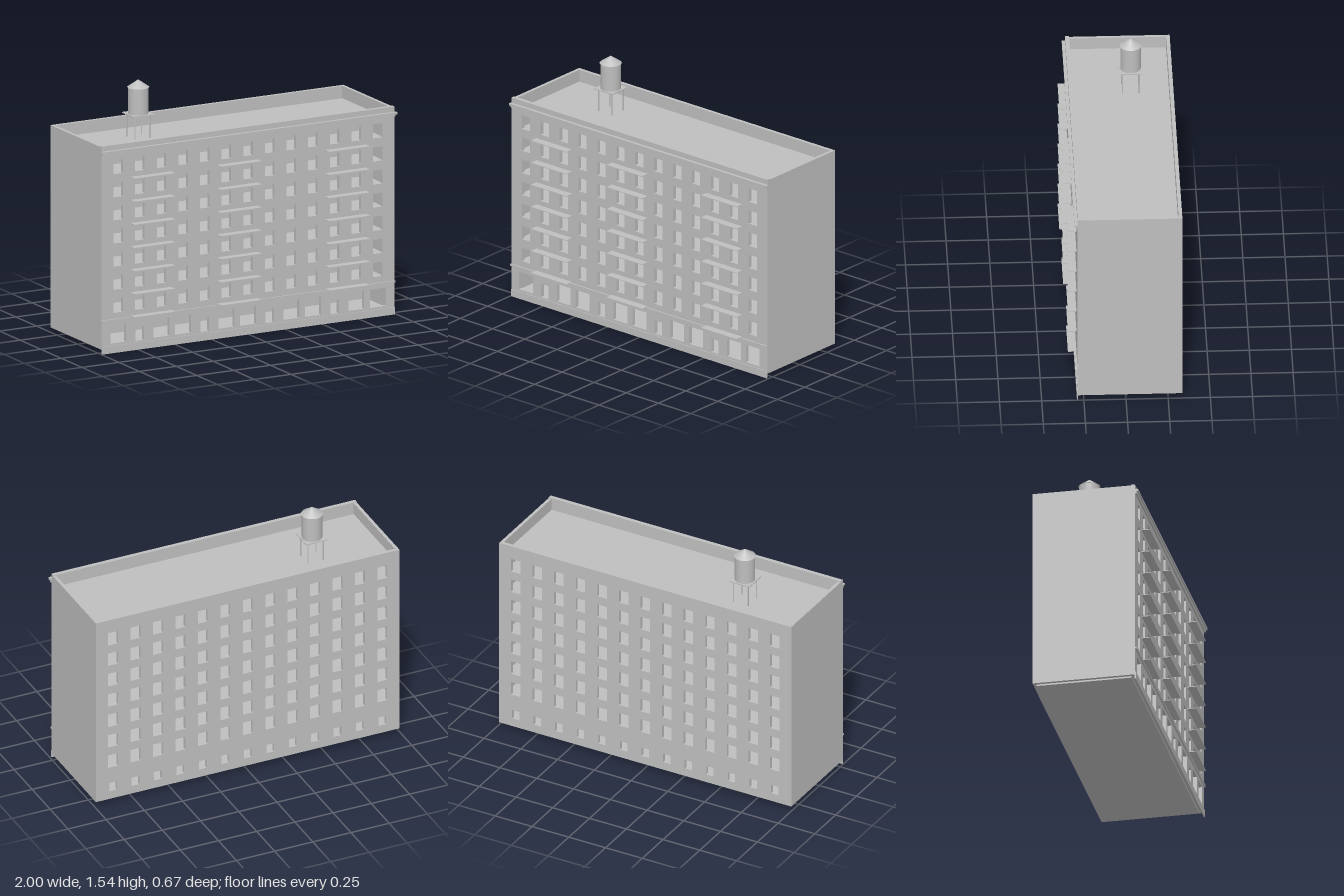
import * as THREE from 'three';

const stone = new THREE.MeshStandardMaterial({ color: 0xbebebe });
stone.name = 'grey stone';

const LEFT = -0.997, RIGHT = 0.99, MID = (LEFT + RIGHT) / 2;
const FRONT = 0.286, BACK = -0.335;
const COLUMNS = 13, PITCH = 0.1468;
const FLOOR_STEP = 0.1413, TOP_FLOOR = 1.06, STOREYS = 7;

export function createModel() {
  const model = new THREE.Group();

  function add(name, geometry, x = 0, y = 0, z = 0) {
    const mesh = new THREE.Mesh(geometry, stone);
    mesh.name = name;
    mesh.position.set(x, y, z);
    model.add(mesh);
    return mesh;
  }

  // box given by its limits on each axis
  function block(name, x0, x1, y0, y1, z0, z1) {
    return add(name, new THREE.BoxGeometry(x1 - x0, y1 - y0, z1 - z0),
      (x0 + x1) / 2, (y0 + y1) / 2, (z0 + z1) / 2);
  }

  function hole(cx, w, y0, y1) {
    const p = new THREE.Path();
    p.moveTo(cx - w / 2, y0);
    p.lineTo(cx - w / 2, y1);
    p.lineTo(cx + w / 2, y1);
    p.lineTo(cx + w / 2, y0);
    p.closePath();
    return p;
  }

  // long wall with a grid of openings and its own ground-floor row
  function wall(name, z, depth, top, groundOpening) {
    const s = new THREE.Shape();
    s.moveTo(LEFT, 0.028);
    s.lineTo(RIGHT, 0.028);
    s.lineTo(RIGHT, top);
    s.lineTo(LEFT, top);
    s.closePath();
    for (let c = 0; c < COLUMNS; c++) {
      const x = MID + (c - (COLUMNS - 1) / 2) * PITCH;
      for (let f = 0; f < STOREYS; f++) {
        const y = 1.135 - f * FLOOR_STEP;
        s.holes.push(hole(x, 0.064, y - 0.043, y + 0.043));
      }
      s.holes.push(groundOpening(x, c));
    }
    add(name, new THREE.ExtrudeGeometry(s, { depth, bevelEnabled: false }), 0, 0, z);
  }

  // outer walls: shopfronts and doors at the front, small windows at the back
  wall('frontWall', FRONT - 0.025, 0.025, 1.27, (x, c) =>
    c % 3 === 1 ? hole(x, 0.057, 0.054, 0.138) : hole(x, 0.108, 0.059, 0.171));
  wall('backWall', BACK, 0.022, 1.265, (x) => hole(x, 0.05, 0.08, 0.138));
  block('rightWall', LEFT, LEFT + 0.02, 0.028, 1.265, BACK + 0.022, FRONT - 0.025);
  block('leftWall', RIGHT - 0.02, RIGHT, 0.028, 1.265, BACK + 0.022, FRONT - 0.025);

  // floors, roof deck and the inner partition
  const inside = [LEFT + 0.02, RIGHT - 0.02];
  const insideZ = [BACK + 0.022, FRONT - 0.025];
  block('groundSlab', ...inside, 0.018, 0.032, ...insideZ);
  for (let f = 0; f < STOREYS; f++) {
    const y = TOP_FLOOR - f * FLOOR_STEP;
    block('floorSlab', ...inside, y - 0.006, y + 0.004, ...insideZ);
  }
  block('roofDeck', ...inside, 1.18, 1.19, ...insideZ);
  block('innerPartition', ...inside, 0.03, 1.185, -0.03, -0.02);

  // front trim: plinth, shop band and stepped cornice
  block('plinth', LEFT, RIGHT, 0, 0.045, FRONT - 0.002, 0.291);
  block('shopBand', LEFT - 0.002, RIGHT + 0.002, 0.196, 0.207, FRONT - 0.002, 0.295);
  block('corniceLower', LEFT, RIGHT + 0.003, 1.21, 1.225, FRONT - 0.002, 0.296);
  block('corniceUpper', -1, 1, 1.225, 1.238, FRONT - 0.002, 0.305);

  // three stacks of thin balcony plates
  for (const x of [-0.664, -0.077, 0.657]) {
    for (let f = 0; f < STOREYS; f++) {
      const y = TOP_FLOOR - f * FLOOR_STEP;
      block('balcony', x - 0.139, x + 0.139, y - 0.002, y + 0.002, FRONT - 0.002, 0.337);
    }
  }

  // water tank on a four-legged stand
  const tx = -0.541, tz = -0.086;
  block('tankPlatform', tx - 0.07, tx + 0.07, 1.331, 1.337, tz - 0.07, tz + 0.07);
  for (const sx of [-1, 1]) for (const sz of [-1, 1]) {
    add('tankLeg', new THREE.CylinderGeometry(0.004, 0.004, 0.145, 8),
      tx + sx * 0.05, 1.2605, tz + sz * 0.05);
  }
  add('tankBody', new THREE.CylinderGeometry(0.061, 0.061, 0.163, 24), tx, 1.4185, tz);
  add('tankRoof', new THREE.ConeGeometry(0.066, 0.046, 24), tx, 1.52, tz);

  return model;
}
